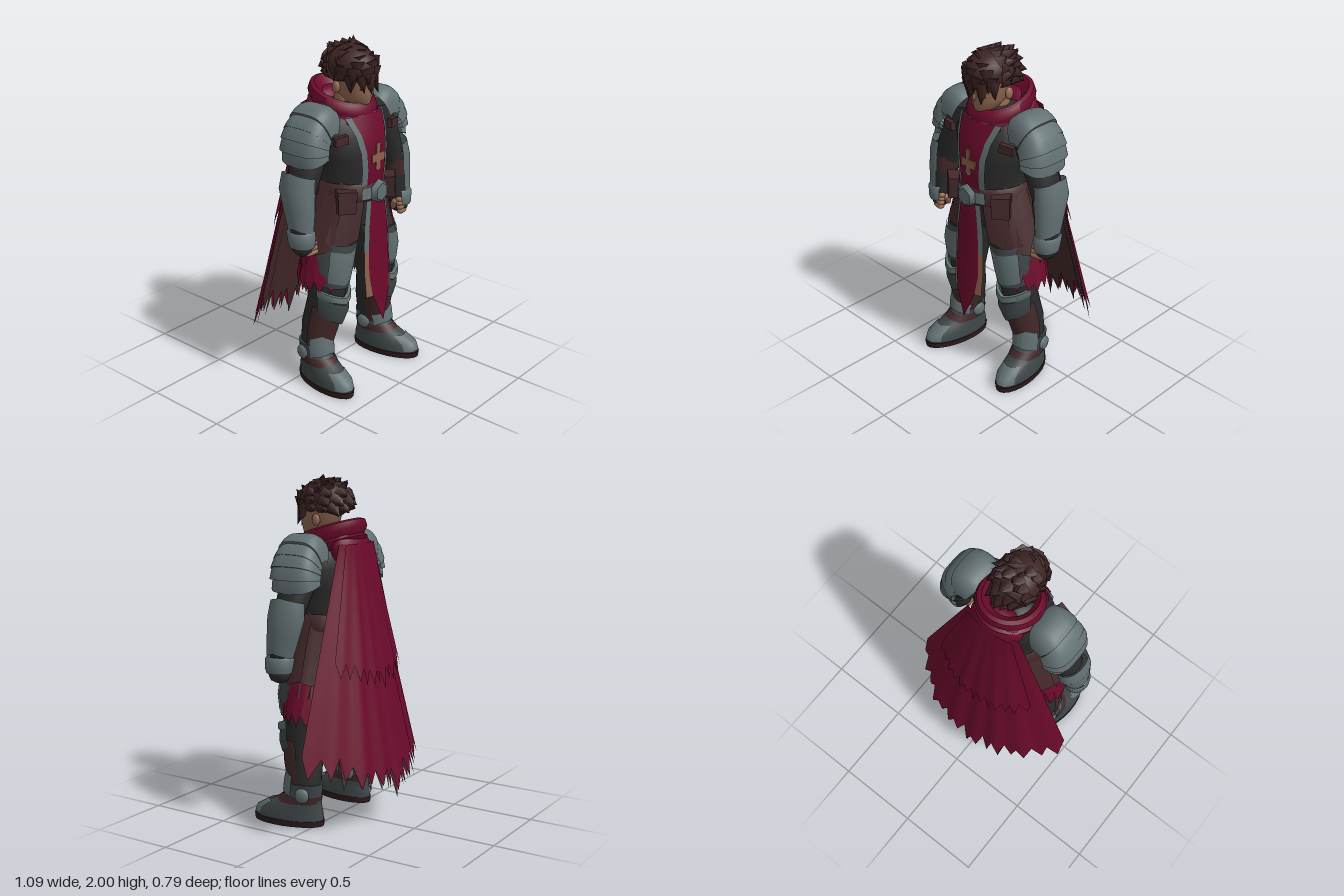
import * as THREE from 'three';
import { mergeVertices, toCreasedNormals } from 'three/addons/utils/BufferGeometryUtils.js';

const paint = (name, color) => {
  const m = new THREE.MeshStandardMaterial({ color, side: THREE.DoubleSide });
  m.name = name;
  return m;
};
const red = paint('crimson cloth', 0x6b0a2b), steel = paint('steel', 0x627072),
  dark = paint('dark steel', 0x3e4647), black = paint('black cloth', 0x2b2b2c),
  brown = paint('brown leather', 0x432829), hairCol = paint('hair', 0x3d2424),
  skin = paint('skin', 0x946b54), tan = paint('tan trim', 0x8d5f4b), sole = paint('sole', 0x2f1b1c);

let seed = 7;
const rnd = () => (seed = (seed * 16807) % 2147483647) / 2147483647;
const lerp = THREE.MathUtils.lerp;

function add(parent, name, geo, mat, pos = [0, 0, 0], scale = [1, 1, 1], rot = [0, 0, 0]) {
  const m = new THREE.Mesh(geo, mat);
  m.name = name;
  m.position.set(...pos); m.scale.set(...scale); m.rotation.set(...rot);
  parent.add(m);
  return m;
}

// surface from a rule f(u, v, column) -> [x, y, z]
function grid(f, nu, nv, crease = 0.8) {
  const p = [], idx = [];
  for (let j = 0; j <= nv; j++) for (let i = 0; i <= nu; i++) p.push(...f(i / nu, j / nv, i));
  for (let j = 0; j < nv; j++) for (let i = 0; i < nu; i++) {
    const a = j * (nu + 1) + i, b = a + nu + 1;
    idx.push(a, a + 1, b + 1, a, b + 1, b);
  }
  const g = new THREE.BufferGeometry();
  g.setAttribute('position', new THREE.Float32BufferAttribute(p, 3));
  g.setIndex(idx);
  return toCreasedNormals(mergeVertices(g, 1e-5), crease);
}

// elliptical sections [y, cx, cz, rx, rz], bottom to top; angle 0 = front, PI/2 = +x
function loft(S, { from = -Math.PI, to = Math.PI, n = 24, tilt = 0, vee = 0, jag = 0, cap = false } = {}) {
  const R = S.map(s => s.slice());
  if (cap) {
    const a = S[0], b = S[S.length - 1];
    R.unshift([a[0], a[1], a[2], 0, 0]);
    R.push([b[0], b[1], b[2], 0, 0]);
  }
  const teeth = Array.from({ length: n + 1 }, (_, i) => (i % 2 ? 0 : jag * (0.5 + rnd() * 0.5)));
  return grid((u, v, i) => {
    const k = Math.round(v * (R.length - 1)), [y, cx, cz, rx, rz] = R[k], t = lerp(from, to, u);
    const z = rz * Math.cos(t), mid = 1 - Math.abs(u * 2 - 1);
    return [cx + rx * Math.sin(t), y - tilt * z - vee * mid + (k === 0 ? teeth[i] : 0), cz + z];
  }, n, R.length - 1);
}

// tapered lock from base point to tip
function lock(parent, name, a, b, r, mat) {
  const A = new THREE.Vector3(...a), d = new THREE.Vector3(...b).sub(A);
  const g = new THREE.ConeGeometry(r, d.length(), 6).translate(0, d.length() / 2, 0);
  const m = add(parent, name, g, mat, a, [1, 1, 0.8]);
  m.quaternion.setFromUnitVectors(new THREE.Vector3(0, 1, 0), d.normalize());
}

function buildArm(g) {
  add(g, 'upperArm', loft([[1.12, 0.41, 0.1, 0.06, 0.07], [1.3, 0.36, 0.09, 0.085, 0.095], [1.45, 0.29, 0.08, 0.1, 0.11], [1.58, 0.24, 0.08, 0.08, 0.09]], { cap: true }), black);
  add(g, 'forearm', loft([[0.94, 0.42, 0.13, 0.055, 0.06], [1.1, 0.415, 0.11, 0.07, 0.08], [1.26, 0.41, 0.095, 0.08, 0.09]], { cap: true }), black);
  add(g, 'forearmStrap', loft([[1.12, 0.412, 0.108, 0.076, 0.086], [1.22, 0.405, 0.1, 0.083, 0.093]]), brown);
  add(g, 'gauntlet', loft([[1.0, 0.43, 0.125, 0.066, 0.078], [1.1, 0.425, 0.11, 0.075, 0.095], [1.22, 0.42, 0.09, 0.082, 0.112], [1.31, 0.405, 0.088, 0.07, 0.105]], { from: -0.35, to: 3.4, vee: -0.035 }), steel);
  add(g, 'gauntletCuff', loft([[0.92, 0.432, 0.132, 0.066, 0.074], [0.94, 0.432, 0.132, 0.07, 0.08], [1.0, 0.432, 0.126, 0.074, 0.086], [1.015, 0.432, 0.126, 0.064, 0.076]], { from: -0.7, to: 3.6 }), steel);
  // fist
  const ball = new THREE.SphereGeometry(1, 14, 10);
  add(g, 'glove', ball, black, [0.43, 0.915, 0.13], [0.05, 0.055, 0.068]);
  for (let i = 0; i < 4; i++)
    add(g, 'finger', new THREE.CapsuleGeometry(0.017, 0.05, 3, 8), skin, [0.405, 0.885 + i * 0.024, 0.178 - i * 0.004], [1, 1, 1.3], [0, 0.3, 1.45]);
  add(g, 'thumb', new THREE.CapsuleGeometry(0.019, 0.05, 3, 8), skin, [0.375, 0.925, 0.14], [1, 1, 1], [0.5, 0, 0.2]);
  // shoulder plates, arched from front to back
  [[122, 52, 0], [56, 34, 0.012], [38, 17, 0.02], [21, 0, 0.022], [4, -17, 0.012]].forEach(([a0, a1, out], k) => {
    add(g, k ? 'shoulderLame' : 'shoulderCap', grid((u, v) => {
      const a = THREE.MathUtils.degToRad(lerp(a0, a1, Math.min(v, 0.85) / 0.85)), b = lerp(0.18, Math.PI - 0.18, u);
      const flare = v > 0.85 ? -0.02 : out + v * (k ? 0.018 : 0.012), s = Math.pow(Math.sin(b), 0.6), c = Math.cos(b);
      return [0.255 + (0.15 + flare) * Math.cos(a) * s, 1.455 + (0.225 + flare) * Math.sin(a) * s - (k ? 0.02 : 0),
        0.08 + (0.14 + flare * 0.5) * Math.sign(c) * Math.pow(Math.abs(c), 0.6)];
    }, 20, 6, 0.6), steel);
  });
  add(g, 'shoulderStrap', new THREE.BoxGeometry(0.085, 0.05, 0.03), brown, [0.225, 1.495, 0.235], [1, 1, 1], [0, 0.25, -0.08]);
}

function buildLeg(g) {
  add(g, 'leg', loft([[0.16, 0.265, 0.07, 0.075, 0.085], [0.36, 0.245, 0.09, 0.088, 0.11], [0.52, 0.22, 0.12, 0.09, 0.115], [0.75, 0.2, 0.12, 0.118, 0.145], [0.92, 0.155, 0.11, 0.135, 0.155], [1.05, 0.12, 0.1, 0.12, 0.15]], { cap: true }), black);
  add(g, 'thighPlateRim', loft([[0.64, 0.21, 0.125, 0.11, 0.138], [0.75, 0.202, 0.125, 0.124, 0.152], [0.9, 0.165, 0.115, 0.14, 0.165]], { from: -1.2, to: 1.4, vee: 0.02 }), dark);
  add(g, 'thighPlate', loft([[0.67, 0.212, 0.128, 0.115, 0.142], [0.76, 0.205, 0.128, 0.128, 0.156], [0.86, 0.182, 0.122, 0.135, 0.16]], { from: -0.8, to: 0.95, vee: 0.025 }), steel);
  add(g, 'kneePlate', loft([[0.46, 0.228, 0.12, 0.1, 0.125], [0.52, 0.222, 0.125, 0.118, 0.14], [0.61, 0.218, 0.125, 0.116, 0.135]], { from: -1.35, to: 1.35, vee: 0.07 }), dark);
  add(g, 'kneeRim', loft([[0.575, 0.219, 0.127, 0.119, 0.138], [0.585, 0.219, 0.13, 0.124, 0.146], [0.62, 0.218, 0.13, 0.122, 0.142], [0.625, 0.218, 0.125, 0.11, 0.128]], { from: -1.4, to: 1.4, vee: 0.06 }), steel);
  add(g, 'shinGuard', loft([[0.2, 0.265, 0.085, 0.08, 0.09], [0.36, 0.247, 0.1, 0.095, 0.118], [0.5, 0.226, 0.122, 0.096, 0.12]], { from: -1.5, to: 1.7 }), brown);
  // boot, turned slightly outward
  const boot = new THREE.Group();
  boot.name = 'boot';
  boot.position.set(0.265, 0, 0.07); boot.rotation.y = 0.16;
  g.add(boot);
  add(boot, 'sole', loft([[0, 0, 0.108, 0.096, 0.218], [0.035, 0, 0.108, 0.1, 0.222]], { cap: true }), sole);
  add(boot, 'bootUpper', loft([[0.035, 0, 0.106, 0.095, 0.215], [0.08, 0, 0.1, 0.094, 0.205], [0.125, 0, 0.065, 0.085, 0.16], [0.17, 0, 0.02, 0.082, 0.115], [0.25, 0, 0.0, 0.085, 0.1]], { cap: true }), dark);
  add(boot, 'toeCap', loft([[0.045, 0, 0.109, 0.097, 0.217], [0.085, 0, 0.104, 0.096, 0.207], [0.13, 0, 0.07, 0.088, 0.163]], { from: -0.75, to: 0.75 }), steel);
  add(boot, 'ankleStrap', loft([[0.135, 0, 0.05, 0.089, 0.142], [0.18, 0, 0.02, 0.088, 0.12]]), brown);
  add(boot, 'anklePlate', loft([[0.18, 0, 0.018, 0.092, 0.122], [0.24, 0, 0.012, 0.097, 0.12], [0.3, 0, 0.015, 0.085, 0.105]], { from: -1.2, to: 1.2, vee: -0.03 }), steel);
  for (const s of [-1, 1]) add(boot, 'ankleDisc', new THREE.SphereGeometry(0.045, 12, 8), steel, [s * 0.08, 0.19, -0.01], [0.5, 1, 1]);
}

function buildSkirt(g) {
  // overlapping leather flaps: centre angle, half width, bottom height
  [[0.75, 0.36, 0.9], [1.35, 0.4, 0.86], [2.0, 0.42, 0.86], [2.7, 0.46, 0.88]].forEach(([a, w, y], i) => {
    const o = (i % 2) * 0.008;
    add(g, 'leatherFlap', loft([[y, 0.01, 0.09, 0.325 + o, 0.215 + o], [1.08, 0, 0.1, 0.25 + o, 0.205 + o], [1.23, 0, 0.1, 0.19 + o, 0.185 + o]], { from: a - w, to: a + w, n: 8, vee: 0.03 }), brown);
  });
  add(g, 'hipCloth', loft([[0.6, 0.03, 0.09, 0.335, 0.2], [0.78, 0.02, 0.095, 0.315, 0.195], [0.98, 0, 0.1, 0.27, 0.185]], { from: 0.75, to: 2.6, n: 14, jag: 0.1 }), red);
  add(g, 'hipClothHem', loft([[0.7, 0.01, 0.09, 0.33, 0.195], [0.95, 0, 0.1, 0.27, 0.18]], { from: 0.6, to: 2.7, n: 12, jag: 0.09 }), brown);
  add(g, 'pouch', new THREE.BoxGeometry(0.1, 0.12, 0.07), brown, [0.19, 1.13, 0.245], [1, 1, 1], [-0.1, 0.65, 0.1]);
  add(g, 'pouchFlap', new THREE.BoxGeometry(0.11, 0.045, 0.08), brown, [0.187, 1.175, 0.243], [1, 1, 1], [-0.1, 0.65, 0.1]);
}

// front cloth strip from rows [y, half width, z]
const strip = (rows, lift, extra = 0, u0 = -1, u1 = 1) => grid((u, v) => {
  const [y, w, z] = rows[Math.round(v * (rows.length - 1))], x = lerp(u0, u1, u) * (w + extra);
  return [x, y, z + lift - x * x * 1.6];
}, 6, rows.length - 1);

function buildTabard(g) {
  const chest = [[1.18, 0.07, 0.295], [1.3, 0.072, 0.306], [1.4, 0.08, 0.306], [1.5, 0.1, 0.29], [1.6, 0.13, 0.25]];
  add(g, 'chestTrim', strip(chest, 0, 0.032), steel);
  add(g, 'chestCloth', strip(chest, 0.006), red);
  const upper = [[0.82, 0.085, 0.335], [0.95, 0.08, 0.33], [1.12, 0.058, 0.318]];
  const lower = [[0.54, 0.085, 0.353], [0.68, 0.09, 0.344], [0.82, 0.085, 0.335]];
  add(g, 'tabardUpperTrim', strip(upper, -0.004, 0.026), steel);
  add(g, 'tabardLowerTrim', strip(lower, -0.004, 0.024), tan);
  add(g, 'tabard', strip([[0.38, 0.003, 0.366], [0.54, 0.07, 0.354], ...lower.slice(1), ...upper.slice(1)], 0.003), red);
  // cross emblem as thin plates
  const s = new THREE.Shape();
  [[-0.012, 0.09], [0.02, 0.09], [0.014, 0.03], [0.06, 0.03], [0.055, -0.02], [0.02, -0.02], [0.024, -0.06], [0, -0.075], [-0.02, -0.055], [-0.016, -0.015], [-0.05, -0.02], [-0.052, 0.03], [-0.016, 0.03]]
    .forEach(([x, y], i) => (i ? s.lineTo(x, y) : s.moveTo(x, y)));
  add(g, 'crossEmblem', new THREE.ExtrudeGeometry(s, { depth: 0.008, bevelEnabled: false }), tan, [0, 1.355, 0.308]);
  // belt and buckle
  add(g, 'belt', loft([[1.12, 0, 0.1, 0.215, 0.212], [1.13, 0, 0.1, 0.22, 0.217], [1.21, 0, 0.1, 0.205, 0.207], [1.22, 0, 0.1, 0.195, 0.2]], { n: 32 }), brown);
  add(g, 'beltPlate', loft([[1.13, 0, 0.1, 0.228, 0.222], [1.2, 0, 0.1, 0.215, 0.216]], { from: -0.5, to: 0.5, n: 8 }), steel);
  add(g, 'buckle', new THREE.CylinderGeometry(0.05, 0.068, 0.03, 6), steel, [0, 1.165, 0.332], [1, 1, 1.05], [Math.PI / 2, 0, 0]);
}

function buildCape(g) {
  // teeth deepen toward the hem
  const cape = (reach, span, cols, cut, back, notch) => {
    const teeth = Array.from({ length: cols + 1 }, (_, i) => (i % 2 ? cut * rnd() * 0.3 : cut * (0.7 + rnd() * 0.4)));
    return grid((u, v, i) => {
      const s = (u * 2 - 1) * span, L = 1.25 + 0.19 * (1 - Math.abs(s)) + notch;
      const t = reach * v - teeth[i] * Math.pow(v, 8), bow = 1 - Math.pow(Math.abs(s), 2.5);
      const fold = 0.012 * Math.sin(s * 22) * t;
      return [s * lerp(0.17, 0.585, t), 1.62 - L * t, -0.095 - bow * (0.03 + 0.275 * t) + fold + back];
    }, cols, 14, 1.0);
  };
  add(g, 'cape', cape(1, 1, 30, 0.11, 0, 0), red);
  add(g, 'capeLining', cape(1, 0.86, 26, 0.13, 0.012, 0.02), brown);
  add(g, 'capeUpperLayer', cape(0.57, 0.86, 26, 0.08, -0.022, 0), red);
}

function buildHead(g) {
  const ball = new THREE.SphereGeometry(1, 24, 16);
  add(g, 'neck', new THREE.CylinderGeometry(0.07, 0.08, 0.16, 16), skin, [0, 1.64, 0.09]);
  add(g, 'face', loft([[1.64, 0, 0.19, 0.03, 0.04], [1.66, 0, 0.165, 0.06, 0.08], [1.72, 0, 0.14, 0.095, 0.115], [1.82, 0, 0.13, 0.11, 0.135]], { cap: true }), skin);
  lock(g, 'nose', [0, 1.755, 0.25], [0, 1.695, 0.278], 0.018, skin);
  for (const s of [-1, 1]) {
    add(g, 'ear', ball, skin, [s * 0.108, 1.745, 0.1], [0.016, 0.035, 0.026]);
    add(g, 'eye', ball, sole, [s * 0.045, 1.745, 0.238], [0.02, 0.006, 0.012]);
  }
  // hair mass with swept locks
  add(g, 'hairCap', ball, hairCol, [-0.008, 1.855, 0.115], [0.128, 0.115, 0.165]);
  const at = (t, e, k) => [-0.008 + 0.128 * k * Math.sin(t) * Math.cos(e), 1.855 + 0.115 * k * Math.sin(e), 0.115 + 0.165 * k * Math.cos(t) * Math.cos(e)];
  for (let r = 0; r < 5; r++) for (let i = 0; i < 13 - r * 2; i++) {
    const t = (i + (r % 2) * 0.5) / (13 - r * 2) * Math.PI * 2, e = -0.35 + r * 0.37;
    const front = Math.cos(t) > 0.35, base = at(t, e, 0.85), tip = at(t, e, 1.02 + rnd() * 0.06);
    tip[1] += front ? -0.075 - rnd() * 0.03 : r > 2 ? 0.015 : -0.05 * rnd();
    tip[2] -= front ? 0 : 0.035;
    tip[0] += front ? -0.02 + rnd() * 0.04 : 0.01;
    lock(g, 'hairLock', base, tip, 0.05, hairCol);
  }
  [[0, 1.93, 0.14, 0.06, 2, 0.08], [0.03, 1.92, 0.1, 0.1, 1.975, 0.02], [-0.05, 1.92, 0.15, -0.03, 1.985, 0.06], [-0.05, 1.9, 0.08, -0.06, 1.965, -0.01], [0.06, 1.9, 0.12, 0.135, 1.93, 0.06]]
    .forEach(p => lock(g, 'crownLock', p.slice(0, 3), p.slice(3), 0.05, hairCol));
}

export function createModel() {
  const root = new THREE.Group();
  root.name = 'cloakedKnight';
  add(root, 'torso', loft([[0.95, 0, 0.1, 0.17, 0.15], [1.08, 0, 0.1, 0.205, 0.175], [1.22, 0, 0.1, 0.185, 0.18], [1.36, 0, 0.105, 0.225, 0.193], [1.48, 0, 0.095, 0.255, 0.185], [1.58, 0, 0.08, 0.21, 0.15], [1.66, 0, 0.06, 0.1, 0.1]], { n: 32, cap: true }), black);
  for (const s of [1, -1]) {
    const side = new THREE.Group();
    side.name = s > 0 ? 'leftSide' : 'rightSide';
    side.scale.x = s;
    buildArm(side); buildLeg(side); buildSkirt(side);
    root.add(side);
  }
  buildTabard(root);
  buildCape(root);
  // folded cowl, lower at the throat
  add(root, 'cowl', loft([[1.52, 0, 0.09, 0.13, 0.15], [1.56, 0, 0.07, 0.185, 0.2], [1.605, 0, 0.06, 0.192, 0.205], [1.62, 0, 0.06, 0.172, 0.185], [1.66, 0, 0.055, 0.188, 0.198], [1.7, 0, 0.055, 0.175, 0.185], [1.71, 0, 0.06, 0.15, 0.165], [1.66, 0, 0.07, 0.115, 0.125]], { n: 36, tilt: 0.3 }), red);
  add(root, 'cowlDrape', loft([[1.5, 0, 0.12, 0.13, 0.165], [1.57, 0, 0.1, 0.17, 0.18], [1.63, 0, 0.08, 0.16, 0.16]], { from: -1.2, to: 1.2, vee: 0.04 }), red);
  add(root, 'hood', new THREE.SphereGeometry(1, 24, 16), red, [0, 1.59, -0.06], [0.165, 0.12, 0.09], [0.2, 0, 0]);
  buildHead(root);
  return root;
}
